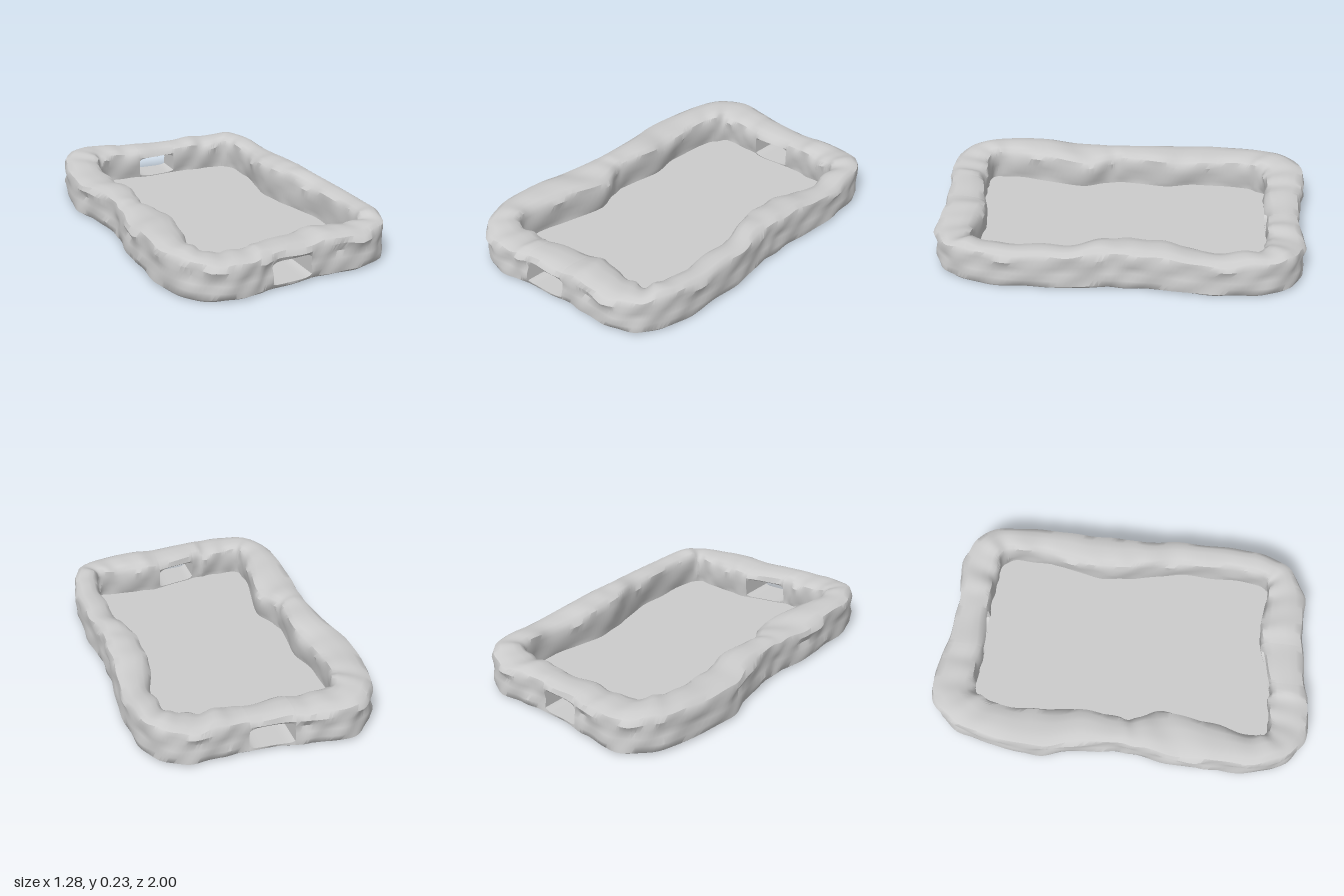
import * as THREE from 'three';
import { toCreasedNormals } from 'three/addons/utils/BufferGeometryUtils.js';

const material = new THREE.MeshStandardMaterial({ color: 0xcccccc });

// Plan of the rim as knots: outer x, outer z, inner x, inner z, height
const rightSide = [
  [0.10, 0.94, 0.10, 0.71, 0.195], [0.25, 0.93, 0.22, 0.70, 0.205], [0.42, 0.92, 0.36, 0.715, 0.19],
  [0.55, 0.84, 0.45, 0.72, 0.20], [0.62, 0.70, 0.485, 0.67, 0.21], [0.645, 0.50, 0.50, 0.50, 0.20],
  [0.64, 0.25, 0.49, 0.25, 0.205], [0.615, 0.05, 0.45, 0.04, 0.22], [0.61, -0.10, 0.415, -0.12, 0.225],
  [0.615, -0.30, 0.42, -0.30, 0.21], [0.62, -0.55, 0.46, -0.50, 0.19], [0.60, -0.75, 0.46, -0.68, 0.205],
  [0.53, -0.90, 0.42, -0.76, 0.21], [0.40, -0.97, 0.32, -0.77, 0.19], [0.25, -0.97, 0.22, -0.78, 0.195],
  [0.10, -0.955, 0.10, -0.78, 0.19],
];
const leftSide = [
  [-0.12, -0.975, -0.12, -0.77, 0.19], [-0.25, -0.995, -0.25, -0.78, 0.195], [-0.40, -1.0, -0.35, -0.77, 0.205],
  [-0.53, -0.91, -0.39, -0.72, 0.21], [-0.60, -0.75, -0.42, -0.62, 0.205], [-0.645, -0.45, -0.42, -0.42, 0.19],
  [-0.61, -0.25, -0.39, -0.22, 0.20], [-0.57, 0.0, -0.41, 0.0, 0.21], [-0.58, 0.15, -0.40, 0.10, 0.20],
  [-0.605, 0.36, -0.34, 0.24, 0.195], [-0.60, 0.52, -0.385, 0.50, 0.215], [-0.585, 0.75, -0.41, 0.70, 0.21],
  [-0.50, 0.92, -0.39, 0.78, 0.205], [-0.36, 1.0, -0.30, 0.785, 0.185], [-0.22, 0.99, -0.20, 0.775, 0.19],
  [-0.12, 0.97, -0.12, 0.775, 0.195],
];
const knots = [...rightSide, ...leftSide];
const N = knots.length;
const closedCurve = (pts) => new THREE.CatmullRomCurve3(pts, true, 'catmullrom', 0.5);
const outer = closedCurve(knots.map((k) => new THREE.Vector3(k[0], k[4], k[1])));
const inner = closedCurve(knots.map((k) => new THREE.Vector3(k[2], k[4], k[3])));

// Gentle hewn unevenness, 0..1, repeating around the rim
function rough(t, y) {
  const a = t * Math.PI * 2;
  return 0.5 + 0.2 * Math.sin(19 * a + 31 * y) + 0.17 * Math.sin(31 * a - 47 * y + 1)
    + 0.13 * Math.sin(11 * a + 75 * y + 2);
}

// Place a section point: f runs from outer face (0) to inner face (1), y is height
function place(t, f, y) {
  const u = t % 1;
  const o = outer.getPoint(u), i = inner.getPoint(u);
  const p = o.clone().lerp(i, f);
  const dir = i.sub(o).setY(0).normalize();
  const r = rough(t, y);
  p.addScaledVector(dir, f < 0.5 ? 0.018 * r : 0.02 * (r - 0.5));
  p.y = y > 0.15 ? y + 0.012 * (r - 0.5) : y;
  return p;
}

// Sweep a section along the rim between two knots and cap both ends
function sweep(name, from, to, section, stepsPerKnot) {
  const steps = (to - from) * stepsPerKnot;
  const pos = [], idx = [];
  let m = 0;
  for (let s = 0; s <= steps; s++) {
    const t = (from + s / stepsPerKnot) / N;
    const h = outer.getPoint(t % 1).y;
    const pts = section(h, s / steps);
    m = pts.length;
    for (const [f, y] of pts) pos.push(...place(t, f, y).toArray());
  }
  for (let s = 0; s < steps; s++) {
    for (let j = 0; j < m; j++) {
      const a = s * m + j, b = s * m + (j + 1) % m;
      idx.push(a, a + m, b + m, a, b + m, b);
    }
  }
  for (const s of [0, steps]) {
    const centre = pos.length / 3;
    const c = new THREE.Vector3();
    for (let j = 0; j < m; j++) c.add(new THREE.Vector3().fromArray(pos, (s * m + j) * 3));
    pos.push(...c.divideScalar(m).toArray());
    for (let j = 0; j < m; j++) {
      const a = s * m + j, b = s * m + (j + 1) % m;
      if (s === 0) idx.push(centre, a, b);
      else idx.push(centre, b, a);
    }
  }
  const geo = new THREE.BufferGeometry();
  geo.setAttribute('position', new THREE.Float32BufferAttribute(pos, 3));
  geo.setIndex(idx);
  const mesh = new THREE.Mesh(toCreasedNormals(geo, 0.75), material);
  mesh.name = name;
  return mesh;
}

// Rounded top shared by the walls and the lintels
const crown = [[0, 0.78], [0.06, 0.92], [0.22, 0.99], [0.42, 1.0], [0.62, 0.99], [0.82, 0.96], [0.95, 0.88], [1, 0.74]];
const wallProfile = [[0.12, 0], [0.03, 0.07], [0, 0.25], [0.03, 0.42], [0.05, 0.58], ...crown, [0.99, 0.5], [0.96, 0.25], [0.92, 0.06], [0.92, 0]];
const scaled = (profile, h) => profile.map(([f, y]) => [f, y * h]);

// Opening edges ease towards the jambs to round the corners
const ease = (s) => Math.pow(Math.abs(2 * s - 1), 6);
const wall = (h) => scaled(wallProfile, h);
const lintel = (h, s) => {
  const y = 0.138 - 0.016 * ease(s);
  return [[0.04, y], ...scaled(crown, h), [0.97, y], [0.5, y]];
};
const sill = (h, s) => {
  const y = 0.024 + 0.012 * ease(s);
  return [[0.12, 0], [0.03, 0.013], [0.02, y], [0.5, y], [0.95, y], [0.92, 0]];
};

export function createModel() {
  const group = new THREE.Group();
  group.name = 'stoneTray';

  // Long side walls, each wrapping two corners
  group.add(sweep('rightHandWall', 0, 15, wall, 8));
  group.add(sweep('leftHandWall', 16, 31, wall, 8));

  // Slots through the front and back walls
  for (const [side, start] of [['back', 15], ['front', 31]]) {
    group.add(sweep(side + 'Lintel', start, start + 1, lintel, 16));
    group.add(sweep(side + 'Sill', start, start + 1, sill, 16));
  }

  // Floor slab filling the rim
  const outline = [];
  for (let s = 0; s < 160; s++) {
    const p = place(s / 160, 0.2, 0);
    outline.push(new THREE.Vector2(p.x, -p.z));
  }
  const slab = new THREE.ExtrudeGeometry(new THREE.Shape(outline), { depth: 0.02, bevelEnabled: false });
  slab.rotateX(-Math.PI / 2);
  const floor = new THREE.Mesh(slab, material);
  floor.name = 'floor';
  group.add(floor);

  return group;
}
